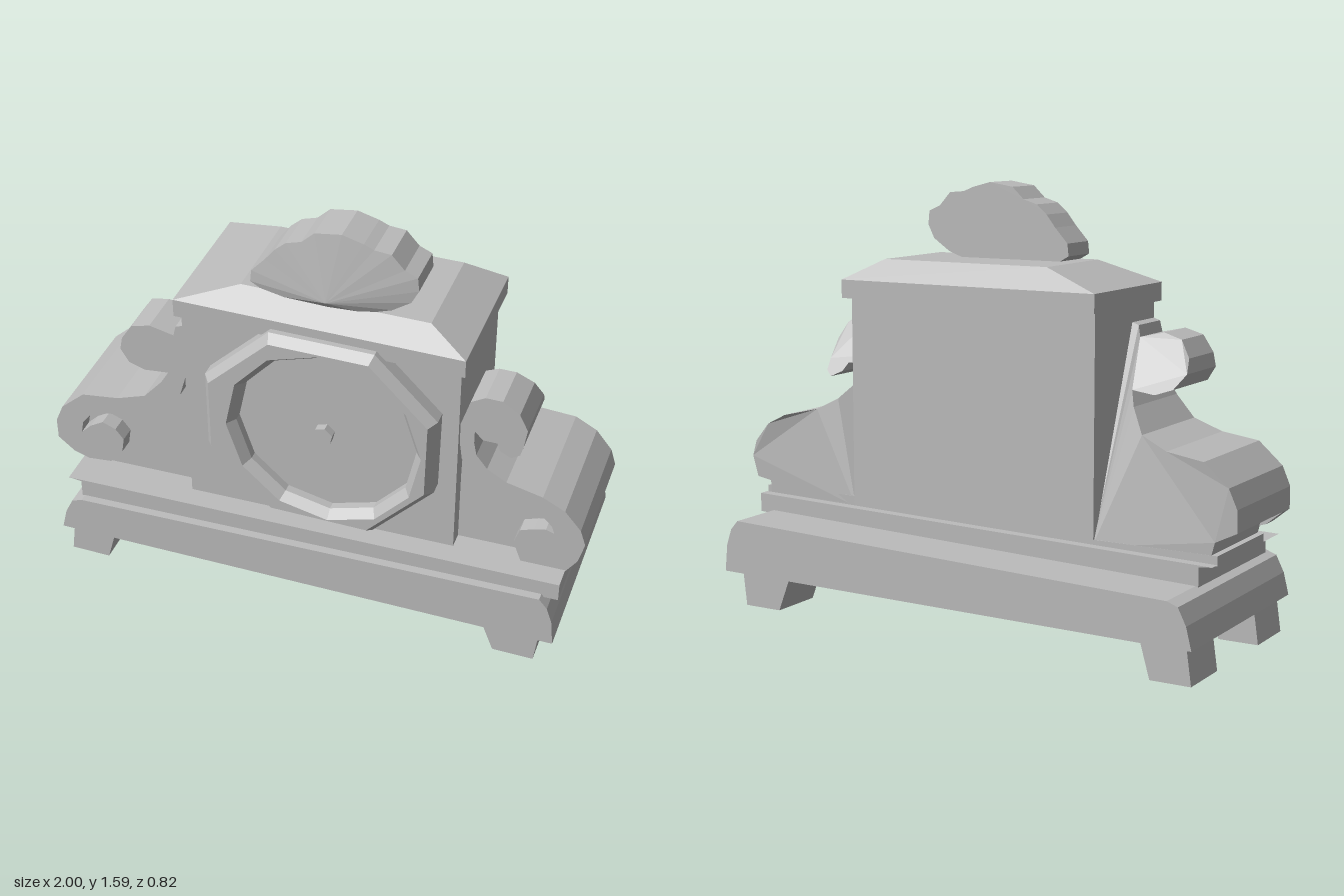
import * as THREE from 'three';

const stone = new THREE.MeshStandardMaterial({ color: 0xbcbcbc, flatShading: true });
stone.name = 'grey stone';

// Outlines are written as x, y pairs in hundredths of a unit
const points = (flat) => {
  const out = [];
  for (let i = 0; i < flat.length; i += 2) out.push(new THREE.Vector2(flat[i] / 100, flat[i + 1] / 100));
  return out;
};
const ngon = (cx, cy, r, n, turn = 0) => Array.from({ length: n }, (_, i) => {
  const a = turn + (i / n) * Math.PI * 2;
  return new THREE.Vector2(cx + r * Math.cos(a), cy + r * Math.sin(a));
});
const slab = (pts, z0, z1) => new THREE.ExtrudeGeometry(new THREE.Shape(pts), { depth: z1 - z0, bevelEnabled: false }).translate(0, 0, z0);

// Block whose bottom and top are the rectangles [x0, x1, z0, z1]
function block(y0, bottom, y1, top = bottom) {
  const g = new THREE.BoxGeometry(1, 1, 1);
  const p = g.attributes.position;
  for (let i = 0; i < p.count; i++) {
    const r = p.getY(i) > 0 ? top : bottom;
    p.setXYZ(i, p.getX(i) > 0 ? r[1] : r[0], p.getY(i) > 0 ? y1 : y0, p.getZ(i) > 0 ? r[3] : r[2]);
  }
  g.computeVertexNormals();
  return g;
}

// Rear surface of the side scrolls, receding towards the top
function scrollBack(y) {
  if (y > 0.98) return 0.09 + Math.min(0.04, (y - 0.98) * 0.4);
  if (y > 0.71) return THREE.MathUtils.mapLinear(y, 0.71, 0.98, -0.165, 0.09);
  return THREE.MathUtils.mapLinear(y, 0.4, 0.71, -0.15, -0.165);
}

export function createModel() {
  const group = new THREE.Group();
  const add = (name, geometry) => {
    const mesh = new THREE.Mesh(geometry, stone);
    mesh.name = name;
    group.add(mesh);
  };

  // Splayed feet
  for (const [z0, z1, end] of [[0.175, 0.38, 'front'], [-0.375, -0.17, 'back']]) {
    add(end + 'RightFoot', block(0, [-0.945, -0.795, z0, z1], 0.14, [-0.925, -0.755, z0, z1]));
    add(end + 'LeftFoot', block(0.02, [0.72, 0.87, z0, z1], 0.15, [0.67, 0.885, z0, z1]));
  }

  // Plinth with rounded ends and the step above it
  add('plinth', slab(points([-96, 13, 94, 15, 93, 25, 91, 31, 88, 34.5, -87, 28.5, -91, 27, -94, 21]), -0.41, 0.41));
  add('plinthStep', slab(points([-88, 27, 94, 33.5, 94, 40.5, -93, 35.5, -88, 35]), -0.19, 0.38));

  // Case, cornice and hipped roof
  add('case', block(0.36, [-0.465, 0.535, -0.15, 0.3], 1.19));
  add('cornice', block(1.168, [-0.48, 0.555, -0.185, 0.33], 1.235));
  add('roof', block(1.235, [-0.48, 0.555, -0.185, 0.33], 1.31, [-0.255, 0.415, -0.11, 0.265]));

  // Bevelled octagonal bezel with a round opening
  const bezel = new THREE.Shape(points([-12.5, 120, 25, 120, 47.5, 97.5, 47, 66.5, 25, 42.5, -13, 42.5, -36.5, 66.5, -36.5, 96.5]));
  bezel.holes.push(new THREE.Path(ngon(0.075, 0.81, 0.33, 12, 0.05)));
  add('bezel', new THREE.ExtrudeGeometry(bezel, {
    depth: 0.06, bevelSegments: 1, bevelThickness: 0.035, bevelSize: 0.025, bevelOffset: -0.025,
  }).translate(0, 0, 0.29));
  add('dial', slab(ngon(0.075, 0.81, 0.345, 12, 0.05), 0.29, 0.32));
  add('dialHub', slab(ngon(0.065, 0.8, 0.037, 6, 0.3), 0.31, 0.35));

  // Side scrolls: the first points of each band are also the outer edge of the body
  const rightBand = points([
    -46, 111, -49, 110, -50, 106, -59, 108, -66, 106, -70, 100, -71, 95, -68, 90, -62, 88, -53, 89,
    -56, 84, -63, 76, -74, 72, -88, 70, -97, 62, -100, 55, -100, 47, -94, 42, -88, 40, -79, 41,
    -74, 47, -73, 53, -76, 57, -81, 59, -86, 56, -90, 52, -89, 57, -85, 62, -77, 64, -64, 68,
    -55, 73, -49, 80, -46, 90]);
  const leftBand = points([
    54, 95, 57, 105, 62, 108, 68, 108, 74, 104, 77, 98, 76, 91, 75, 87, 72, 85, 68, 87,
    67, 90, 62, 90, 59, 93, 59, 88, 60, 83, 64, 78, 71, 74, 84, 71, 92, 67, 98, 60,
    100, 54, 98, 46, 94, 40, 86, 40, 78, 40, 75, 48, 77, 54, 82, 56, 86, 57, 89, 56,
    88, 59, 84, 63, 73, 67, 60, 74, 55, 80, 54, 87]);
  const scrolls = [
    ['right', rightBand, 17, [-92, 43, -90, 36, -46, 36]],
    ['left', leftBand, 22, [92, 45, 92, 39, 53, 39]],
  ];
  for (const [side, band, count, foot] of scrolls) {
    add(side + 'ScrollBand', slab(band, 0.235, 0.3));
    const body = slab([...band.slice(0, count), ...points(foot)], 0, 0.24);
    const p = body.attributes.position;
    for (let i = 0; i < p.count; i++) if (p.getZ(i) < 0.1) p.setZ(i, scrollBack(p.getY(i)));
    body.computeVertexNormals();
    add(side + 'ScrollBody', body);
  }
  add('rightScrollFoot', block(0.35, [-0.93, -0.46, -0.15, 0.24], 0.385));
  add('leftScrollFoot', block(0.39, [0.53, 0.935, -0.15, 0.24], 0.43));

  // Scalloped shell crest, its front a fan of facets from a raised point
  const shell = points([
    -15, 129, -22, 133, -21.5, 137.5, -16.5, 143, -13, 147.5, -9, 151, -3.5, 152.7, 1, 157, 10.5, 158.5,
    18, 156.5, 21.5, 155, 27.5, 154.5, 32, 149.5, 36.5, 147.5, 37, 142.5, 34.5, 137.5, 28, 133, 18.5, 129.5, 6, 128.5]);
  add('shellCrest', slab(shell, 0.11, 0.265));
  const fan = [];
  shell.forEach((a, i) => {
    const b = shell[(i + 1) % shell.length];
    fan.push(0.06, 1.328, 0.3, b.x, b.y, 0.265, a.x, a.y, 0.265);
  });
  const fanGeometry = new THREE.BufferGeometry();
  fanGeometry.setAttribute('position', new THREE.Float32BufferAttribute(fan, 3));
  fanGeometry.computeVertexNormals();
  add('shellFront', fanGeometry);

  return group;
}
